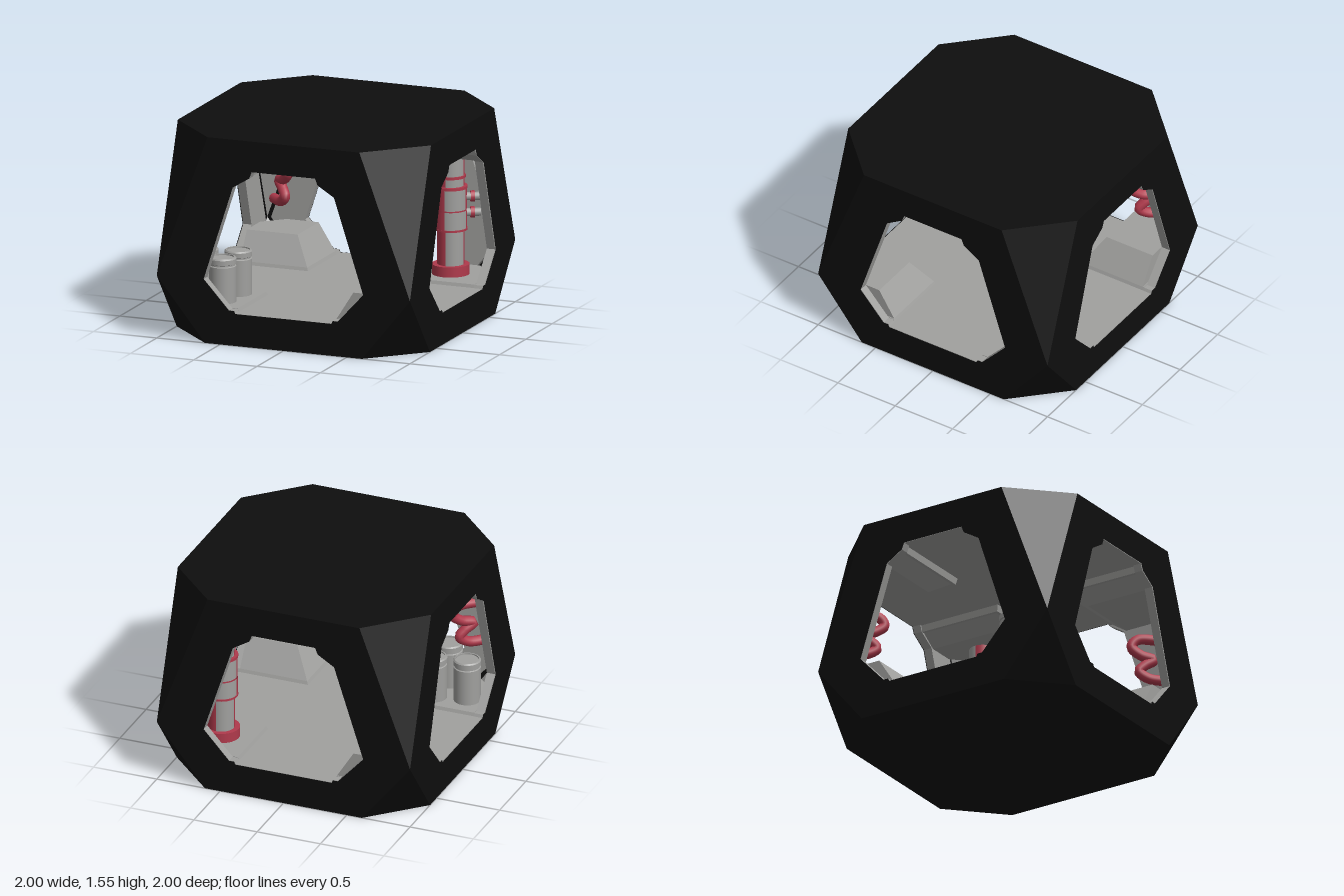
import * as THREE from 'three';

const mat = (name, color) => new THREE.MeshStandardMaterial({ name, color, side: THREE.DoubleSide });
const black = mat('shell black', 0x0e0e0e);
const grey = mat('panel grey', 0xa0a09e);
const red = mat('pipe red', 0xb03a4c);

const shapeOf = (pts) => new THREE.Shape(pts.map(([x, y]) => new THREE.Vector2(x, y)));
// Left-right symmetric outline from its +x half
const mirrored = (half) => [...half, ...half.map(([x, y]) => [-x, y]).reverse()];

const OUTER = mirrored([[0.62, 0], [1, 0.47], [0.6, 1.55]]);
const LINING = mirrored([[0.58, 0.08], [0.9, 0.47], [0.55, 1.45]]);
const WINDOW = mirrored([[0.38, 0.24], [0.39, 0.262], [0.43, 0.262], [0.63, 0.48],
  [0.4, 1.19], [0.27, 1.27], [0.25, 1.32]]);

function withWindow(outline) {
  const s = shapeOf(outline);
  s.holes.push(new THREE.Path(WINDOW.map(([x, y]) => new THREE.Vector2(x, y))));
  return s;
}

function add(parent, name, geometry, material, x = 0, y = 0, z = 0) {
  const m = new THREE.Mesh(geometry, material);
  m.name = name;
  m.position.set(x, y, z);
  parent.add(m);
  return m;
}

// Horizontal octagon: a square of half-width a whose corners are cut back to c
function octagon(a, c, facingUp) {
  const s = shapeOf([[c, -a], [a, -c], [a, c], [c, a], [-c, a], [-a, c], [-a, -c], [-c, -a]]);
  return new THREE.ShapeGeometry(s).rotateX(facingUp ? -Math.PI / 2 : Math.PI / 2);
}

function triangles(points) {
  const g = new THREE.BufferGeometry();
  g.setAttribute('position', new THREE.Float32BufferAttribute(points.flat(), 3));
  g.computeVertexNormals();
  return g;
}

// The two sloping facets of one corner, meeting at its middle point
function facets(a, topY, topC, lowY, lowC) {
  const mid = [a, 0.47, a];
  return triangles([
    [topC, topY, a], mid, [a, topY, topC],
    [lowC, lowY, a], [a, lowY, lowC], mid]);
}

// Corner pad from yLow to yHigh, its inner sides sloping from inLow to inHigh
function pad(inLow, inHigh, yLow, yHigh, far, cut) {
  const h = yHigh - yLow;
  const g = new THREE.ExtrudeGeometry(
    shapeOf([[0, 0], [far, 0], [far, cut], [cut, far], [0, far]]),
    { depth: h, bevelEnabled: false });
  g.rotateX(Math.PI / 2).translate(0, yHigh, 0);
  const p = g.attributes.position;
  for (let i = 0; i < p.count; i++) {
    const inner = p.getY(i) > yLow + h / 2 ? inHigh : inLow;
    p.setX(i, Math.max(p.getX(i), inner));
    p.setZ(i, Math.max(p.getZ(i), inner));
  }
  g.computeVertexNormals();
  return g;
}

function barrel(x, z) {
  const g = new THREE.Group();
  g.name = 'barrel';
  g.position.set(x, 0.265, z);
  const profile = [[0, 0], [0.1, 0], [0.1, 0.27], [0.092, 0.275], [0.092, 0.285], [0.102, 0.29],
    [0.102, 0.325], [0.094, 0.335], [0.085, 0.335], [0.085, 0.325], [0, 0.325]];
  // Separate bands keep the edges crisp
  for (let i = 1; i < profile.length; i++) {
    const band = profile.slice(i - 1, i + 1).map(([r, y]) => new THREE.Vector2(r, y));
    add(g, 'barrelBand', new THREE.LatheGeometry(band, 24), grey);
  }
  return g;
}

// Column section in quarters of alternating colour
function columnSection(parent, r, y0, y1) {
  for (let q = 0; q < 4; q++) {
    add(parent, 'columnQuarter', new THREE.CylinderGeometry(r, r, y1 - y0, 8, 1, true,
      q * Math.PI / 2, Math.PI / 2), q % 2 ? red : grey, 0, (y0 + y1) / 2, 0);
  }
}

function column() {
  const g = new THREE.Group();
  g.name = 'column';
  g.position.set(0.64, 0, -0.64);
  columnSection(g, 0.1, 0.26, 0.6);
  columnSection(g, 0.12, 0.61, 0.745);
  columnSection(g, 0.118, 0.755, 0.92);
  columnSection(g, 0.1, 0.92, 1.28);
  // Base and thin collars
  const rings = [[0.138, 0.3, 0.08], [0.124, 0.605, 0.015], [0.114, 0.75, 0.02],
    [0.124, 0.92, 0.02], [0.11, 1.0, 0.02], [0.125, 1.24, 0.06]];
  for (const [r, y, h] of rings) add(g, 'columnRing', new THREE.CylinderGeometry(r, r, h, 32), red, 0, y, 0);
  // Short side pipes with collars
  for (const y of [0.72, 0.84]) {
    const pipe = new THREE.Group();
    pipe.name = 'sidePipe';
    pipe.position.y = y;
    pipe.rotation.y = Math.PI / 6;
    add(pipe, 'pipeArm', new THREE.CylinderGeometry(0.03, 0.03, 0.2, 16).rotateZ(Math.PI / 2), grey, 0.12);
    add(pipe, 'pipeCollar', new THREE.CylinderGeometry(0.042, 0.042, 0.03, 16).rotateZ(Math.PI / 2), red, 0.16);
    g.add(pipe);
  }
  return g;
}

// Winding pipe on a corner wall
function wallPipe() {
  const path = [[0.8, 0.96], [0.68, 0.95], [0.65, 0.89], [0.7, 0.83], [0.77, 0.8],
    [0.72, 0.75], [0.69, 0.7], [0.74, 0.65], [0.84, 0.64]];
  const curve = new THREE.CatmullRomCurve3(path.map(([d, y]) => new THREE.Vector3(d, y, d)));
  return new THREE.TubeGeometry(curve, 48, 0.038, 12);
}

export function createModel() {
  const model = new THREE.Group();
  model.name = 'observationRoom';

  // Roof, underside, floor and ceiling
  add(model, 'roof', octagon(1, 0.6, true), black, 0, 1.55);
  add(model, 'underside', octagon(1, 0.62, false), black);
  add(model, 'floor', octagon(0.93, 0.75, true), grey, 0, 0.24);
  add(model, 'ceiling', octagon(0.93, 0.62, false), grey, 0, 1.32);

  for (let k = 0; k < 4; k++) {
    // Wall with window, outside skin and thick lining
    const side = new THREE.Group();
    side.name = 'side';
    side.rotation.y = k * Math.PI / 2;
    add(side, 'outerWall', new THREE.ShapeGeometry(withWindow(OUTER)), black, 0, 0, 1);
    add(side, 'wallLining', new THREE.ExtrudeGeometry(withWindow(LINING),
      { depth: 0.065, bevelEnabled: false }), grey, 0, 0, 0.93);

    // Corner facets, floor plate and ceiling bracket
    add(side, 'outerCorner', facets(1, 1.55, 0.6, 0, 0.62), black);
    add(side, 'innerCorner', facets(0.93, 1.32, 0.62, 0.24, 0.75), grey);
    add(side, 'floorPlate', pad(0.38, 0.39, 0.241, 0.265, 0.93, 0.75), grey);
    add(side, 'ceilingPlate', pad(0.275, 0.265, 1.27, 1.319, 0.93, 0.62), grey);
    add(side, 'ceilingBracket', pad(0.42, 0.3, 1.19, 1.27, 0.93, 0.63), grey);
    if (k !== 1) add(side, 'wallPipe', wallPipe(), red);
    if (k % 2 === 0) add(side, 'cornerPlinth', pad(0.39, 0.52, 0.265, 0.47, 0.92, 0.77), grey);
    model.add(side);
  }

  // Fittings
  model.add(column());
  for (const [x, z] of [[-0.555, 0.52], [-0.8, 0.57], [-0.575, 0.77]]) model.add(barrel(x, z));
  return model;
}
